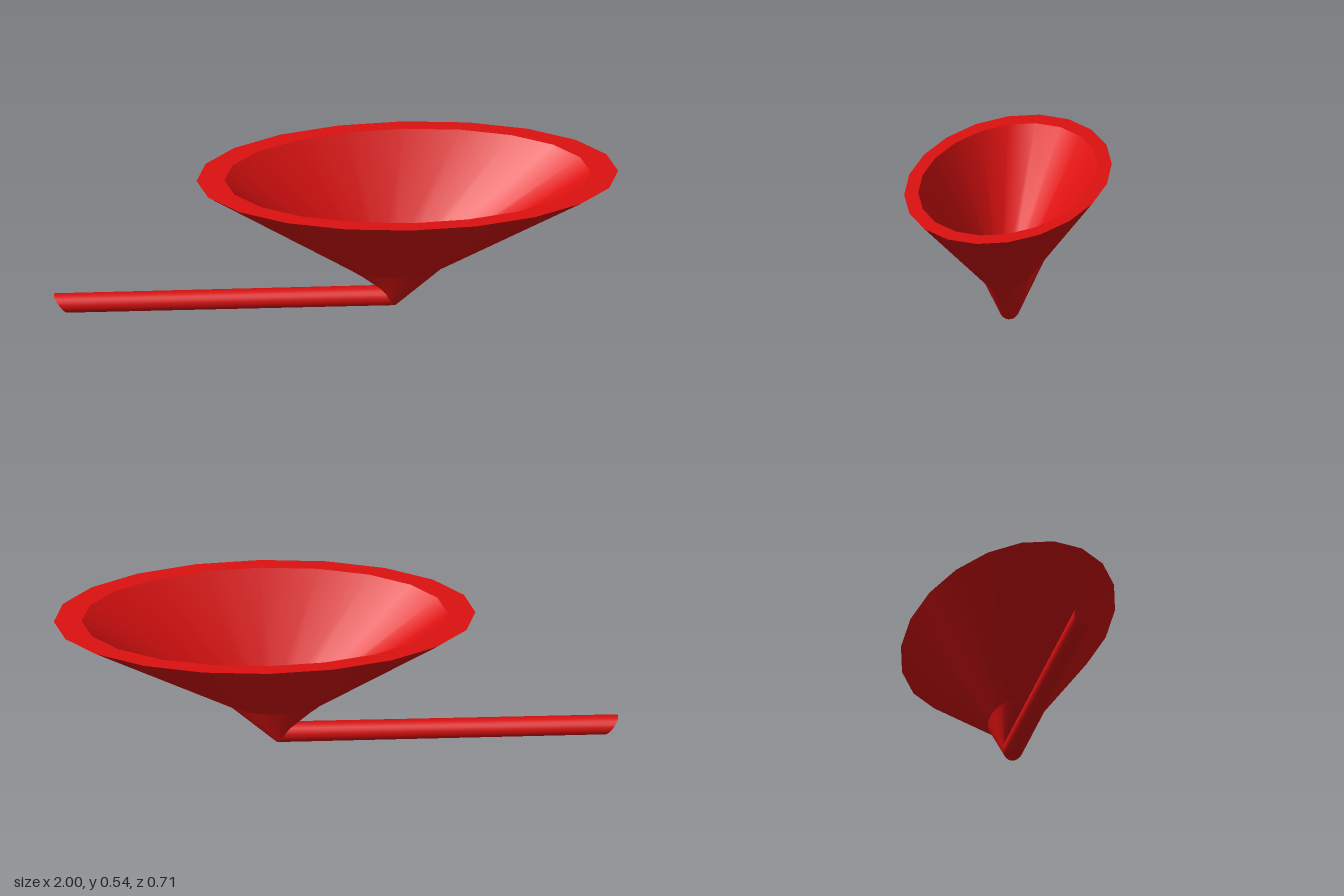
import * as THREE from 'three';

const SIDES = 20;

// Ring of points: centre plus a cosine vector (x, y) and a depth along z
function ring([cx, cy, cz], ux, uy, uz) {
  return Array.from({ length: SIDES }, (_, i) => {
    const a = (i / SIDES) * Math.PI * 2;
    return [cx + ux * Math.cos(a), cy + uy * Math.cos(a), cz + uz * Math.sin(a)];
  });
}

// Smooth band of faces between two rings
function band(from, to) {
  const index = [];
  for (let i = 0; i < SIDES; i++) {
    const j = (i + 1) % SIDES;
    index.push(i, i + SIDES, j, j, i + SIDES, j + SIDES);
  }
  const g = new THREE.BufferGeometry();
  g.setAttribute('position', new THREE.Float32BufferAttribute([...from, ...to].flat(), 3));
  g.setIndex(index);
  g.computeVertexNormals();
  return g;
}

export function createModel() {
  const model = new THREE.Group();
  const red = new THREE.MeshStandardMaterial({ color: 0xdd1111 });
  const add = (name, from, to) => {
    const mesh = new THREE.Mesh(band(from, to), red);
    mesh.name = name;
    model.add(mesh);
  };

  // Slanted cuts at both ends of the stem
  const tip = ring([-0.975, 0.036, 0.004], 0.025, -0.034, 0.037);
  const tipCentre = ring([-0.975, 0.036, 0.004], 0, 0, 0);
  const joint = ring([0.19, 0.036, 0.004], 0.022, -0.036, 0.037);

  // Oval sections of the bowl, outside and inside
  const neck = ring([0.212, 0.165, 0.008], 0.172, 0, 0.082);
  const rim = ring([0.253, 0.535, 0], 0.747, 0, 0.354);
  const innerRim = ring([0.253, 0.535, 0], 0.648, 0, 0.306);
  const innerNeck = ring([0.212, 0.165, 0.008], 0.148, 0, 0.07);
  const innerFloor = ring([0.193, 0.04, 0.004], 0.019, -0.031, 0.032);
  const floorCentre = ring([0.193, 0.04, 0.004], 0, 0, 0);

  add('stemTip', tipCentre, tip);
  add('stem', tip, joint);
  add('bowlNeck', joint, neck);
  add('bowlWall', neck, rim);
  add('bowlRim', rim, innerRim);
  add('bowlInnerWall', innerRim, innerNeck);
  add('bowlInnerNeck', innerNeck, innerFloor);
  add('bowlFloor', innerFloor, floorCentre);
  return model;
}
